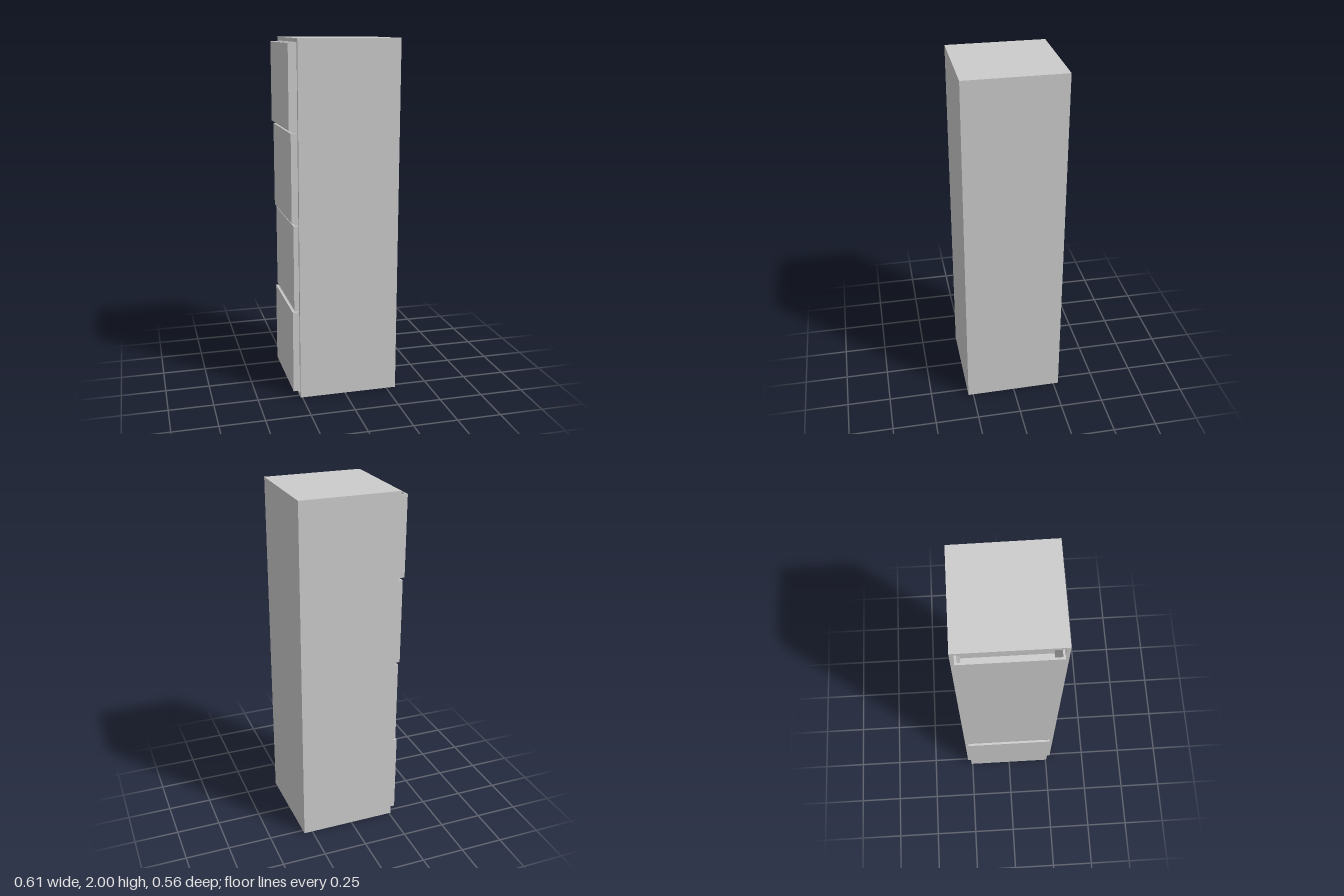
import * as THREE from 'three';

const material = new THREE.MeshStandardMaterial({ color: 0xcccccc, flatShading: true });

// Box given by its minimum and maximum corners
function box(name, [x0, y0, z0], [x1, y1, z1]) {
  const geometry = new THREE.BoxGeometry(x1 - x0, y1 - y0, z1 - z0);
  geometry.translate((x0 + x1) / 2, (y0 + y1) / 2, (z0 + z1) / 2);
  const mesh = new THREE.Mesh(geometry, material);
  mesh.name = name;
  return mesh;
}

// Hollow cabinet, open towards -x
function makeCabinet() {
  const group = new THREE.Group();
  group.name = 'cabinet';
  const x0 = -0.26, x1 = 0.302, z = 0.28, t = 0.02;
  group.add(
    box('cabinetTop', [x0, 2 - t, -z], [x1, 2, z]),
    box('cabinetBottom', [x0, 0, -z], [x1, t, z]),
    box('cabinetSideLeft', [x0, t, -z], [x1, 2 - t, -z + t]),
    box('cabinetSideRight', [x0, t, z - t], [x1, 2 - t, z]),
    box('cabinetBack', [x1 - t, t, -z + t], [x1, 2 - t, z - t])
  );
  // The back is very slightly out of square
  group.traverse((part) => {
    if (!part.isMesh) return;
    const p = part.geometry.attributes.position;
    for (let i = 0; i < p.count; i++) {
      if (p.getX(i) > x1 - 0.001) p.setX(i, x1 + p.getZ(i) * 0.009);
    }
  });
  return group;
}

// Open-topped drawer, pulled out to x0
function makeDrawer(x0, y0, y1) {
  const group = new THREE.Group();
  group.name = 'drawer';
  const x1 = -0.09, z0 = -0.257, z1 = 0.253, t = 0.011;
  group.add(
    box('drawerFront', [x0, y0, z0], [x0 + t, y1, z1]),
    box('drawerBack', [x1 - t, y0, z0], [x1, y1, z1]),
    box('drawerFloor', [x0 + t, y0, z0 + t], [x1 - t, y0 + t, z1 - t]),
    box('drawerSideLeft', [x0 + t, y0, z0], [x1 - t, y1, z0 + t]),
    box('drawerSideRight', [x0 + t, y0, z1 - t], [x1 - t, y1, z1])
  );
  return group;
}

export function createModel() {
  const model = new THREE.Group();
  model.name = 'filingCabinet';
  model.add(makeCabinet());
  // Each drawer: front position, bottom, top
  const drawers = [
    [-0.295, 0.03, 0.505],
    [-0.286, 0.52, 1.0],
    [-0.295, 1.015, 1.505],
    [-0.305, 1.52, 1.975],
  ];
  for (const [x, y0, y1] of drawers) model.add(makeDrawer(x, y0, y1));
  return model;
}
